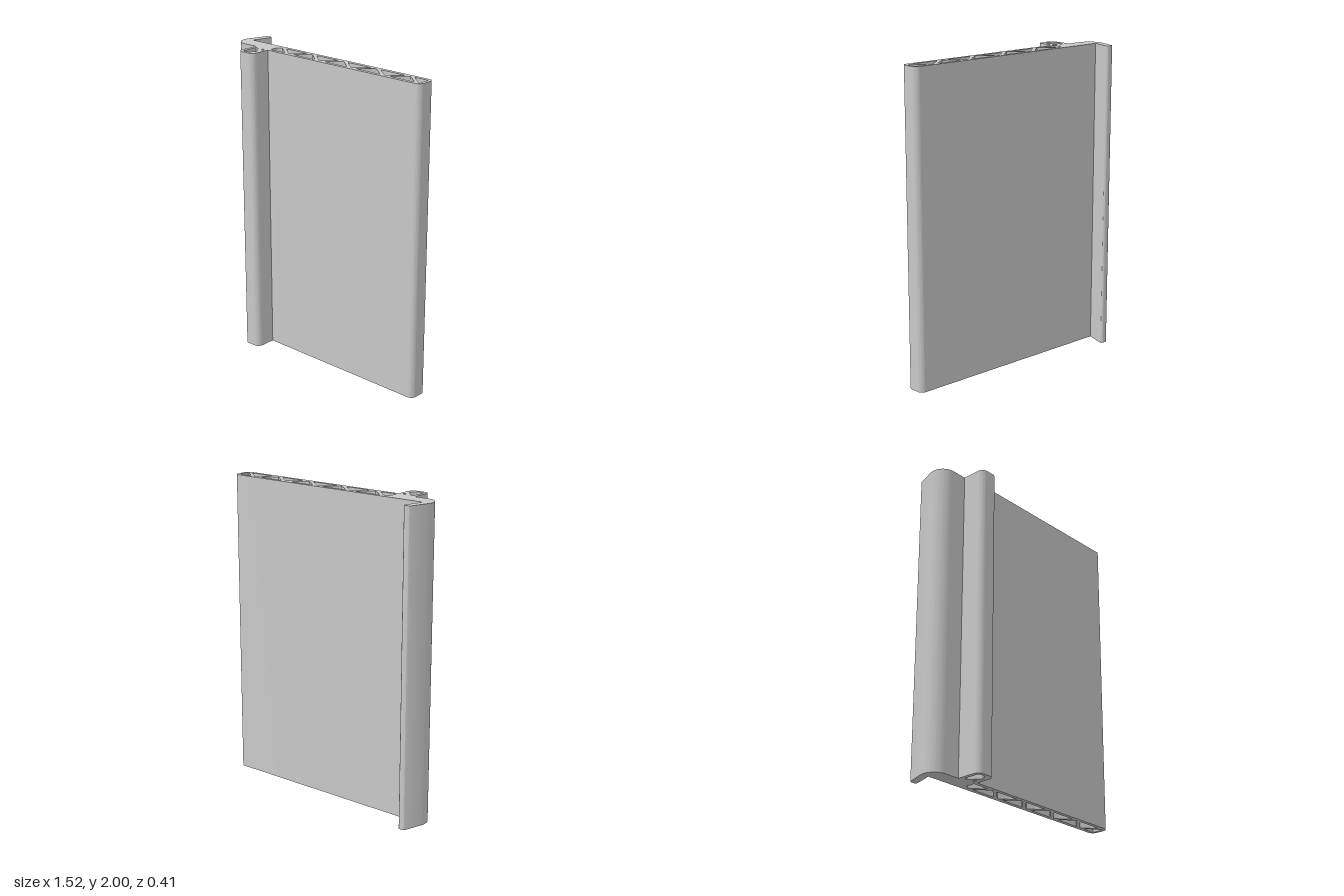
import * as THREE from 'three';
import { toCreasedNormals } from 'three/addons/utils/BufferGeometryUtils.js';

// Trace a closed polygon of [x, z, radius] corners, each rounded by a true arc
function roundedPath(path, corners) {
  const n = corners.length;
  const pts = corners.map(([x, z]) => new THREE.Vector2(x, -z));
  corners.forEach(([, , r = 0], i) => {
    const p = pts[i];
    const a = pts[(i + n - 1) % n].clone().sub(p).normalize();
    const b = pts[(i + 1) % n].clone().sub(p).normalize();
    if (r === 0) {
      if (i === 0) path.moveTo(p.x, p.y);
      else path.lineTo(p.x, p.y);
      return;
    }
    const half = Math.acos(a.dot(b)) / 2;
    const t = r / Math.tan(half);
    const start = p.clone().addScaledVector(a, t);
    const end = p.clone().addScaledVector(b, t);
    const c = a.clone().add(b).normalize().multiplyScalar(r / Math.sin(half)).add(p);
    if (i === 0) path.moveTo(start.x, start.y);
    else path.lineTo(start.x, start.y);
    path.absarc(c.x, c.y, r,
      Math.atan2(start.y - c.y, start.x - c.x),
      Math.atan2(end.y - c.y, end.x - c.x), a.cross(b) > 0);
  });
  path.closePath();
  return path;
}

export function createModel() {
  const group = new THREE.Group();
  group.name = 'extrudedPanel';
  const grey = new THREE.MeshStandardMaterial({ color: 0xc8c8c8 });
  grey.name = 'grey';

  // Outline: hooked lip, hollow panel with rounded end, square clip channel
  const profile = roundedPath(new THREE.Shape(), [
    [-0.706, -0.061],
    [0.762, -0.061, 0.038],
    [0.762, 0.069, 0.038],
    [-0.442, 0.069],
    [-0.442, 0.203, 0.04],
    [-0.573, 0.203, 0.04],
    [-0.573, 0.045],
    [-0.795, 0.045, 0.09],
    [-0.715, -0.203, 0.016],
    [-0.664, -0.203, 0.016],
  ]);
  // Holes run opposite to the outline so that their walls face inwards
  const cut = (corners) => profile.holes.push(roundedPath(new THREE.Path(), corners.reverse()));

  // Truss cells: alternating triangles along the panel
  const top = -0.035, bottom = 0.044, pitch = 0.256, half = 0.094, r = 0.004;
  for (let k = 0; k < 5; k++) {
    const up = -0.416 + pitch * k;
    const down = up + pitch / 2;
    if (k > 0) cut([[up, top, r], [up + half, bottom, r], [up - half, bottom, r]]);
    if (k < 4) cut([[down - half, top, r], [down + half, top, r], [down, bottom, r]]);
  }
  // Partial cells at the two ends of the truss
  cut([[-0.443, -0.012, r], [-0.416, top, r], [-0.322, bottom, r], [-0.443, bottom, r]]);
  cut([[0.641, top, r], [0.739, top, r], [0.739, bottom, r], [0.731, bottom, r]]);

  // Clip channel cavities
  cut([[-0.547, 0.069], [-0.527, 0.069], [-0.469, 0.141, r], [-0.498, 0.179, 0.012], [-0.547, 0.179, 0.006]]);
  cut([[-0.494, 0.069, 0.003], [-0.469, 0.069, 0.003], [-0.469, 0.1, 0.004]]);

  // Extrude upward to full height
  const geometry = new THREE.ExtrudeGeometry(profile, {
    depth: 2, bevelEnabled: false, curveSegments: 24,
  });
  geometry.rotateX(-Math.PI / 2);

  const panel = new THREE.Mesh(toCreasedNormals(geometry, 0.5), grey);
  panel.name = 'panelProfile';
  group.add(panel);
  return group;
}
